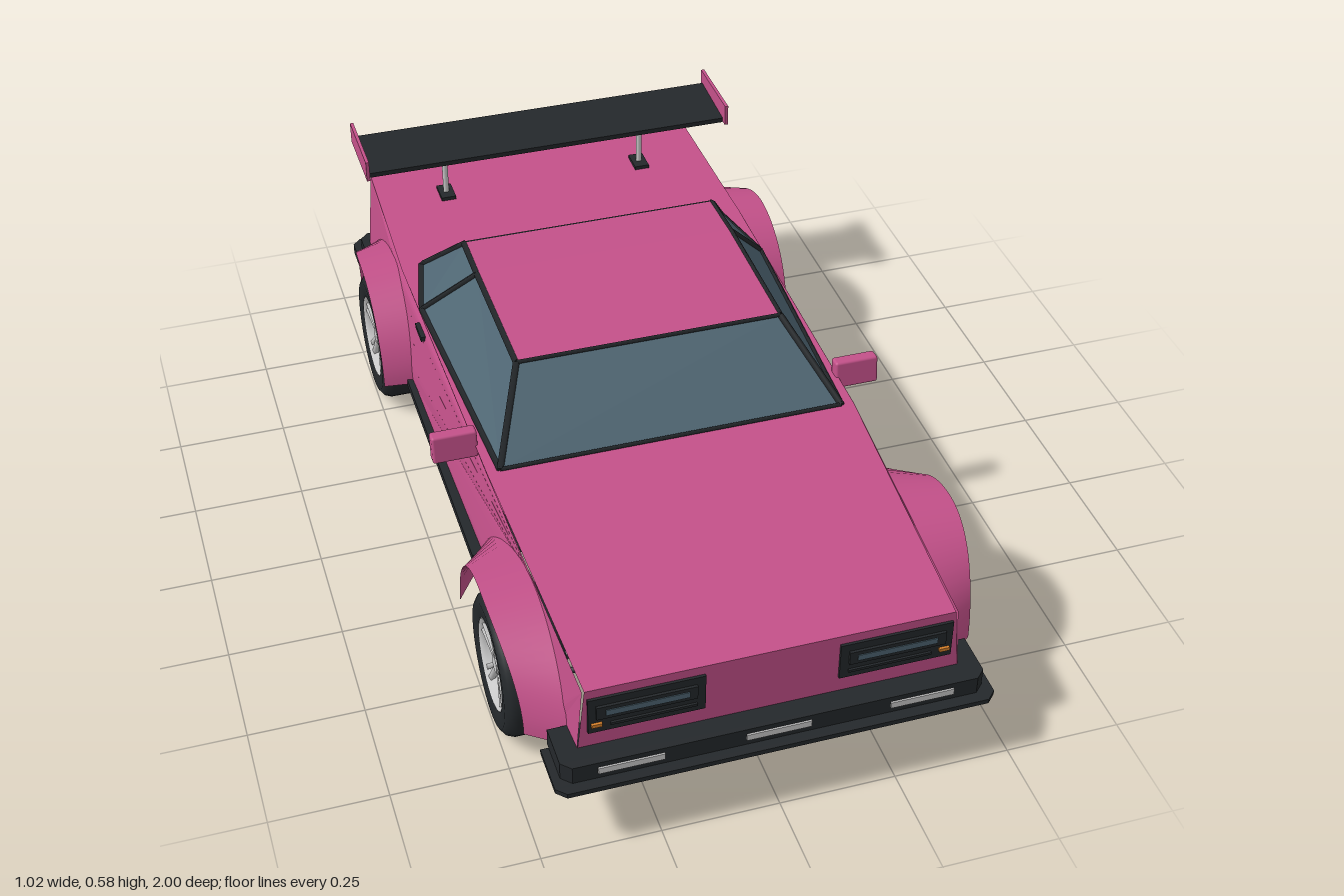
import * as THREE from 'three';
import { RoundedBoxGeometry } from 'three/addons/geometries/RoundedBoxGeometry.js';

const mat = (color, extra = {}) => new THREE.MeshStandardMaterial({ color, ...extra });
const V = (x, y, z) => new THREE.Vector3(x, y, z);

export function createModel() {
  const car = new THREE.Group();
  car.name = 'car';
  const paint = mat(0xc4518a, { side: THREE.DoubleSide });
  const glass = mat(0x4f6673, { side: THREE.DoubleSide });
  const black = mat(0x24282b);
  const grey = mat(0xcccccc);
  const orange = mat(0xd9822b);
  const red = mat(0x9c2530);

  const add = (name, geo, material, parent = car) => {
    const m = new THREE.Mesh(geo, material);
    m.name = name;
    parent.add(m);
    return m;
  };
  // box given by its limits on each axis
  const box = (name, [x0, x1], [y0, y1], [z0, z1], material, parent) => {
    const m = add(name, new THREE.BoxGeometry(x1 - x0, y1 - y0, z1 - z0), material, parent);
    m.position.set((x0 + x1) / 2, (y0 + y1) / 2, (z0 + z1) / 2);
    return m;
  };
  // round or square bar between two points
  const bar = (name, a, b, r, material, parent, sides = 4) => {
    const m = add(name, new THREE.CylinderGeometry(r, r, a.distanceTo(b), sides), material, parent);
    m.position.copy(a).add(b).multiplyScalar(0.5);
    m.quaternion.setFromUnitVectors(V(0, 1, 0), b.clone().sub(a).normalize());
    return m;
  };
  // surface between two rows of points
  const loft = (name, rowA, rowB, material, parent, smooth = false) => {
    const g = new THREE.BufferGeometry().setFromPoints([...rowA, ...rowB]);
    const n = rowA.length, idx = [];
    for (let i = 0; i < n - 1; i++) idx.push(i, i + 1, n + i, i + 1, n + i + 1, n + i);
    g.setIndex(idx);
    const out = smooth ? g : g.toNonIndexed();
    out.computeVertexNormals();
    return add(name, out, material, parent);
  };

  // everything on the left side goes here and is mirrored at the end
  const left = new THREE.Group();
  left.name = 'leftSide';
  car.add(left);

  // body outline: z, top height, half width at the top
  const stations = [[0.925, 0.355, 0.385], [0.28, 0.395, 0.415], [-0.52, 0.395, 0.425], [-0.93, 0.405, 0.415]];
  const halfWidth = (z) => {
    for (let i = 0; i < 3; i++) {
      const [z0, , w0] = stations[i], [z1, , w1] = stations[i + 1];
      if (z >= z1 - 1e-4) return w0 + (w1 - w0) * (z0 - z) / (z0 - z1);
    }
    return 0.415;
  };
  const sideX = (z, y) => halfWidth(z) + 0.02 * THREE.MathUtils.clamp((0.4 - y) / 0.2, 0, 1);

  // side panel with wheel arches
  const wheelZ = 0.6, archR = 0.21, archY = 0.155;
  const s = new THREE.Shape();
  s.moveTo(-0.925, 0.16);
  for (const u of [-wheelZ, wheelZ]) {
    s.lineTo(u - archR, 0.16);
    s.absarc(u, archY, archR, Math.PI, 0, true);
  }
  s.lineTo(0.93, 0.16);
  [...stations].reverse().forEach(([z, y]) => s.lineTo(-z, y));
  const sideGeo = new THREE.ShapeGeometry(s, 24);
  const p = sideGeo.attributes.position;
  for (let i = 0; i < p.count; i++) {
    const z = -p.getX(i), y = p.getY(i);
    p.setXYZ(i, sideX(z, y), y, z);
  }
  const flatSide = sideGeo.toNonIndexed();
  flatSide.computeVertexNormals();
  add('sidePanel', flatSide, paint, left);

  // hood, belt and trunk lid, then nose and tail panels
  loft('deck', stations.map(([z, y, w]) => V(-w, y, z)), stations.map(([z, y, w]) => V(w, y, z)), paint);
  for (const [name, [z, y, w]] of [['nosePanel', stations[0]], ['tailPanel', stations[3]]]) {
    const f = Math.sign(z), x0 = sideX(z, 0.16);
    loft(name, [V(f * w, y, z), V(-f * w, y, z)], [V(f * x0, 0.16, z), V(-f * x0, 0.16, z)], paint);
  }

  // wheel arch flares: lip arc joined to the body, reach fore and aft
  for (const [zc, fore, aft] of [[wheelZ, 0.06, 0.11], [-wheelZ, 0.015, 0.08]]) {
    const lip = [], root = [];
    for (let i = 0; i <= 32; i++) {
      const a = Math.PI * i / 32, c = Math.cos(a), y = archY + archR * Math.sin(a);
      const taper = zc > 0 ? Math.max(0, c) : Math.max(0, -c);
      lip.push(V(0.51 - 0.03 * taper ** 2, y, zc + archR * c));
      const z = zc + c * (archR + (c > 0 ? fore : aft) * Math.abs(c));
      root.push(V(sideX(z, y) - 0.004, y + 0.005, z));
    }
    loft('archFlare', root, lip, paint, left, true);
  }

  // cabin: glass between belt and roof
  const A = V(0.385, 0.398, 0.28), B = V(0.415, 0.398, -0.34), C = V(0.375, 0.398, -0.52);
  const a = V(0.3, 0.537, 0.105), b = V(0.302, 0.54, -0.24), c = V(0.3, 0.537, -0.372);
  const flip = (v) => V(-v.x, v.y, v.z);
  loft('windshield', [flip(a), a], [flip(A), A], glass);
  loft('rearWindow', [c, flip(c)], [C, flip(C)], glass);
  loft('sideWindows', [a, b, c], [A, B, C], glass, left);
  loft('roof', [a, b, c].map(flip).map((v) => v.setY(v.y + 0.004)), [a, b, c].map((v) => v.clone().setY(v.y + 0.004)), paint);
  for (const [q, r] of [[A, a], [B, b], [C, c], [a, b], [b, c], [A, B], [B, C]]) bar('windowFrame', q, r, 0.008, black, left);
  for (const v of [A, a, C, c]) bar('windowFrame', v, flip(v), 0.006, black);

  // mirror, door handle, side skirt
  const mirror = add('mirror', new RoundedBoxGeometry(0.1, 0.065, 0.032, 2, 0.006), paint, left);
  mirror.position.set(0.46, 0.397, 0.168);
  mirror.rotation.x = -0.12;
  box('mirrorGlass', [0.42, 0.505], [0.374, 0.42], [0.148, 0.152], grey, left);
  box('doorHandle', [0.42, 0.434], [0.349, 0.361], [-0.34, -0.28], black, left);
  box('sideSkirt', [0.41, 0.456], [0.152, 0.172], [-0.38, 0.28], black, left);

  // bumpers with chamfered corners
  const bumper = (name, w, zIn, zOut, y0, y1) => {
    const f = Math.sign(zOut), cut = 0.02;
    const sh = new THREE.Shape([[-w, zIn], [w, zIn], [w, zOut - f * cut], [w - cut, zOut], [-w + cut, zOut], [-w, zOut - f * cut]]
      .map(([x, z]) => new THREE.Vector2(x, -z)));
    const g = new THREE.ExtrudeGeometry(sh, { depth: y1 - y0, bevelEnabled: false });
    g.rotateX(-Math.PI / 2).translate(0, y0, 0);
    add(name, g, black);
  };
  bumper('frontBumper', 0.445, 0.86, 0.975, 0.166, 0.207);
  bumper('frontSplitter', 0.462, 0.87, 1.0, 0.155, 0.166);
  bumper('rearBumper', 0.45, -0.86, -0.97, 0.186, 0.21);
  bumper('rearBumperLip', 0.468, -0.86, -0.985, 0.16, 0.186);
  for (const x of [-0.305, 0, 0.305]) box('bumperLamp', [x - 0.068, x + 0.068], [0.18, 0.195], [0.97, 0.979], grey);

  // lamp panels, front and rear
  for (const [name, z, f, lens] of [['headlight', 0.925, 1, glass], ['tailLight', -0.93, -1, red]]) {
    const g = new THREE.Group();
    g.name = name;
    left.add(g);
    const span = (d0, d1) => (f > 0 ? [z + d0, z + d1] : [z - d1, z - d0]);
    box('lampPanel', [0.14, 0.38], [0.246, 0.334], span(-0.01, 0.006), black, g);
    box('lampRim', [0.158, 0.364], [0.284, 0.316], span(0, 0.012), black, g);
    box('lampLens', [0.175, 0.345], [0.293, 0.307], span(0, 0.014), lens, g);
    box('lampRib', [0.158, 0.335], [0.262, 0.268], span(0, 0.011), black, g);
    if (f > 0) box('indicator', [0.352, 0.374], [0.264, 0.272], span(0, 0.012), orange, g);
  }

  // rear wing
  const blade = box('wingBlade', [-0.45, 0.45], [0.528, 0.54], [-0.9, -0.735], black);
  blade.rotation.x = 0.06;
  box('wingEndPlate', [0.45, 0.458], [0.525, 0.577], [-0.91, -0.718], paint, left);
  bar('wingPost', V(0.25, 0.4, -0.8), V(0.25, 0.53, -0.8), 0.007, grey, left, 10);
  box('wingFoot', [0.232, 0.268], [0.398, 0.41], [-0.83, -0.77], black, left);

  // wheels
  const tyre = [[0.095, -0.066], [0.135, -0.07], [0.149, -0.06], [0.155, -0.045], [0.155, 0.045],
    [0.149, 0.06], [0.135, 0.07], [0.1, 0.066], [0.095, 0.055], [0.095, -0.066]].map(([r, y]) => new THREE.Vector2(r, y));
  const rim = [[0.09, -0.066], [0.087, 0], [0.09, 0.055], [0.098, 0.066], [0.1, 0.062], [0.096, 0.05], [0.095, -0.066]]
    .map(([r, y]) => new THREE.Vector2(r, y));
  const rimMat = mat(0xcccccc, { side: THREE.DoubleSide });
  const tyreMat = mat(0x24282b, { side: THREE.DoubleSide });
  for (const z of [wheelZ, -wheelZ]) {
    const w = new THREE.Group();
    w.name = z > 0 ? 'frontWheel' : 'rearWheel';
    w.position.set(0.431, 0.155, z);
    w.rotation.z = -Math.PI / 2; // wheel axis y points outward
    left.add(w);
    add('tyre', new THREE.LatheGeometry(tyre, 40), tyreMat, w);
    add('rim', new THREE.LatheGeometry(rim, 40), rimMat, w);
    add('hub', new THREE.CylinderGeometry(0.02, 0.026, 0.03, 20), grey, w).position.y = 0.042;
    add('brakeDisc', new THREE.CylinderGeometry(0.074, 0.074, 0.01, 32), grey, w).position.y = 0.0;
    for (let i = 0; i < 5; i++) {
      const t = i * Math.PI * 2 / 5 + Math.PI;
      for (const d of [-0.13, 0.13]) {
        bar('spoke', V(Math.cos(t + d) * 0.018, 0.048, Math.sin(t + d) * 0.018),
          V(Math.cos(t + d) * 0.092, 0.054, Math.sin(t + d) * 0.092), 0.008, grey, w);
      }
    }
    box('brakeCaliper', [0.41, 0.45], [0.13, 0.185], [z - 0.085, z - 0.055], paint, left);
    // suspension
    bar('controlArm', V(0.22, 0.125, z + 0.05), V(0.38, 0.098, z), 0.007, black, left, 8);
    bar('controlArm', V(0.22, 0.125, z - 0.08), V(0.38, 0.098, z), 0.007, black, left, 8);
    bar('damper', V(0.35, 0.12, z - 0.02), V(0.29, 0.28, z - 0.02), 0.008, black, left, 8);
    const coil = [];
    for (let i = 0; i <= 60; i++) {
      const k = i / 60, t = k * Math.PI * 12;
      coil.push(V(0.345 - 0.05 * k + 0.02 * Math.cos(t), 0.135 + 0.13 * k, z - 0.02 + 0.02 * Math.sin(t)));
    }
    add('spring', new THREE.TubeGeometry(new THREE.CatmullRomCurve3(coil), 120, 0.004, 5), grey, left);
  }

  // underside
  box('floorPanel', [0.05, 0.41], [0.155, 0.167], [-0.38, 0.28], black, left);
  box('chassisRail', [0.27, 0.29], [0.164, 0.178], [-0.9, 0.9], black, left);
  box('tunnel', [-0.06, 0.06], [0.19, 0.2], [-0.38, 0.28], paint);
  const sump = add('engineSump', new RoundedBoxGeometry(0.23, 0.12, 0.25, 2, 0.006), grey);
  sump.position.set(0, 0.19, -0.6);
  box('engineBlock', [-0.13, 0.13], [0.236, 0.275], [-0.74, -0.45], black);

  // exhaust
  bar('exhaustPipe', V(-0.29, 0.152, -0.74), V(-0.29, 0.152, -0.94), 0.014, grey, car, 16);
  const tip = add('exhaustTip', new THREE.CylinderGeometry(0.02, 0.02, 0.1, 20, 1, true), rimMat);
  tip.position.set(-0.29, 0.152, -0.95);
  tip.rotation.x = Math.PI / 2;
  bar('exhaustLink', V(-0.29, 0.152, -0.75), V(-0.1, 0.16, -0.68), 0.014, grey, car, 12);

  // mirrored right side
  const right = left.clone();
  right.name = 'rightSide';
  right.scale.x = -1;
  car.add(right);
  return car;
}
